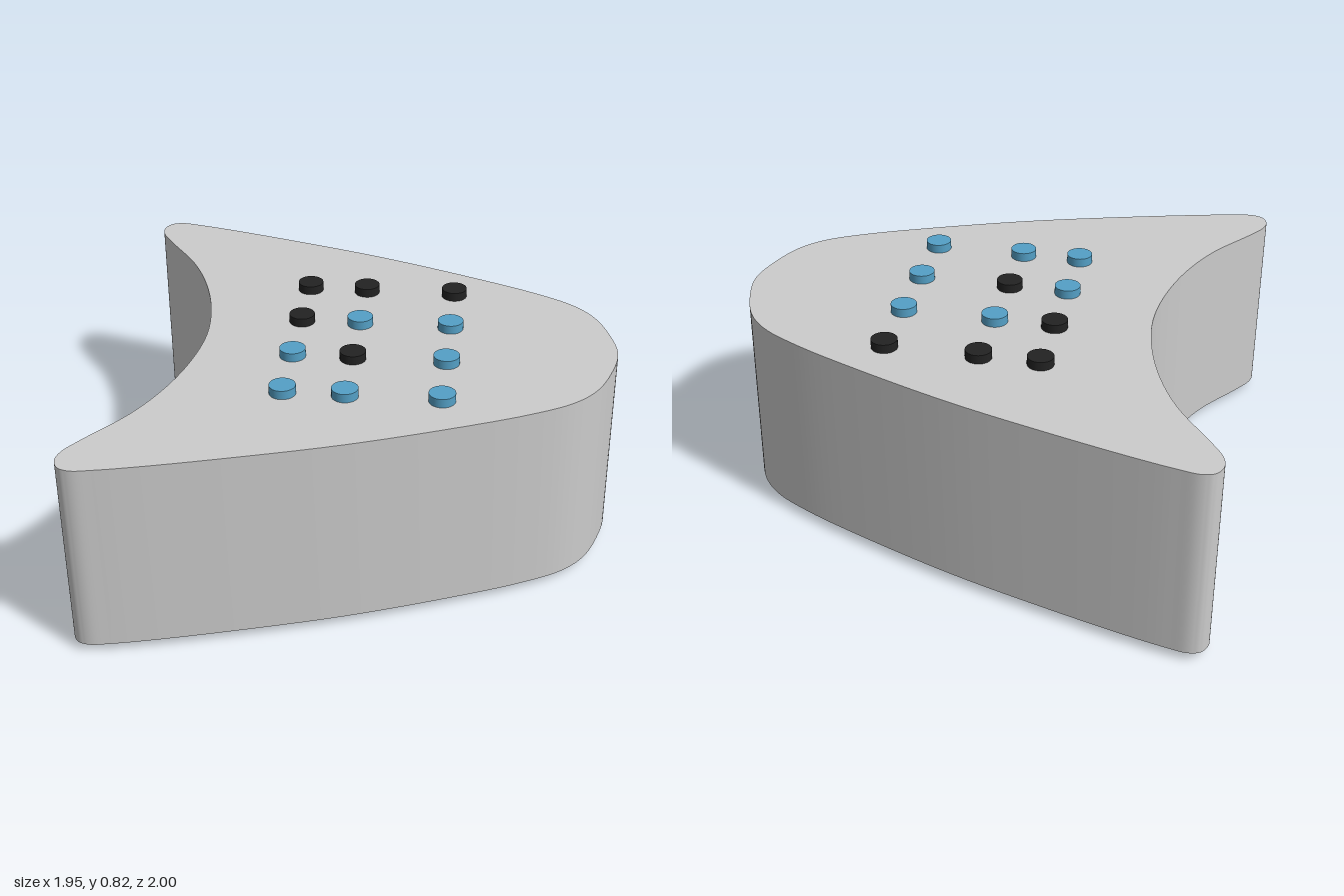
import * as THREE from 'three';
import { toCreasedNormals } from 'three/addons/utils/BufferGeometryUtils.js';

const BODY_BOTTOM = 0.035, BODY_TOP = 0.79, STUD_HEIGHT = 0.035;

// Half outline (x, z) from the middle of the hollow back, round the wing tip, to the nose
const HALF = [
  [-0.615, 0], [-0.635, 0.2], [-0.69, 0.41], [-0.78, 0.61], [-0.92, 0.81], [-0.965, 0.885],
  [-0.973, 0.94], [-0.95, 0.985], [-0.905, 1], [-0.83, 0.988], [-0.7, 0.957], [-0.4, 0.872],
  [0, 0.745], [0.4, 0.588], [0.65, 0.475], [0.8, 0.385], [0.885, 0.29], [0.943, 0.15], [0.972, 0],
];

function bodyGeometry() {
  const mirrored = HALF.slice(1, -1).reverse().map(([x, z]) => [x, -z]);
  const points = [...HALF, ...mirrored].map(([x, z]) => new THREE.Vector3(x, z, 0));
  const curve = new THREE.CatmullRomCurve3(points, true, 'centripetal');
  const outline = curve.getPoints(216).slice(0, -1).map((p) => new THREE.Vector2(p.x, p.y));
  const geometry = new THREE.ExtrudeGeometry(new THREE.Shape(outline), {
    depth: BODY_TOP - BODY_BOTTOM, bevelEnabled: false,
  });
  geometry.rotateX(-Math.PI / 2).translate(0, BODY_BOTTOM, 0);
  return toCreasedNormals(geometry, Math.PI / 4);
}

export function createModel() {
  const model = new THREE.Group();
  const grey = new THREE.MeshStandardMaterial({ color: 0xcccccc });
  const studMaterials = {
    b: new THREE.MeshStandardMaterial({ color: 0x54a0c6 }),
    k: new THREE.MeshStandardMaterial({ color: 0x222222 }),
  };

  const body = new THREE.Mesh(bodyGeometry(), grey);
  body.name = 'body';
  model.add(body);

  // Round studs: one colour string per column, running from the back (-z) to the front (+z)
  const studGeometry = new THREE.CylinderGeometry(0.05, 0.05, STUD_HEIGHT, 32);
  const addStuds = (name, y, columns) => {
    const group = new THREE.Group();
    group.name = name;
    for (const [x, colours] of columns) {
      [...colours].forEach((c, i) => {
        const stud = new THREE.Mesh(studGeometry, studMaterials[c]);
        stud.name = c === 'b' ? 'blueStud' : 'blackStud';
        stud.position.set(x, y, -0.42 + i * 0.278);
        group.add(stud);
      });
    }
    model.add(group);
  };
  addStuds('topStuds', BODY_TOP + STUD_HEIGHT / 2, [[-0.26, 'kkbb'], [-0.03, 'kbkb'], [0.325, 'kbbb']]);
  addStuds('bottomStuds', BODY_BOTTOM - STUD_HEIGHT / 2, [[-0.26, 'kkkb'], [0.095, 'kbkb'], [0.325, 'kkbb']]);

  return model;
}
